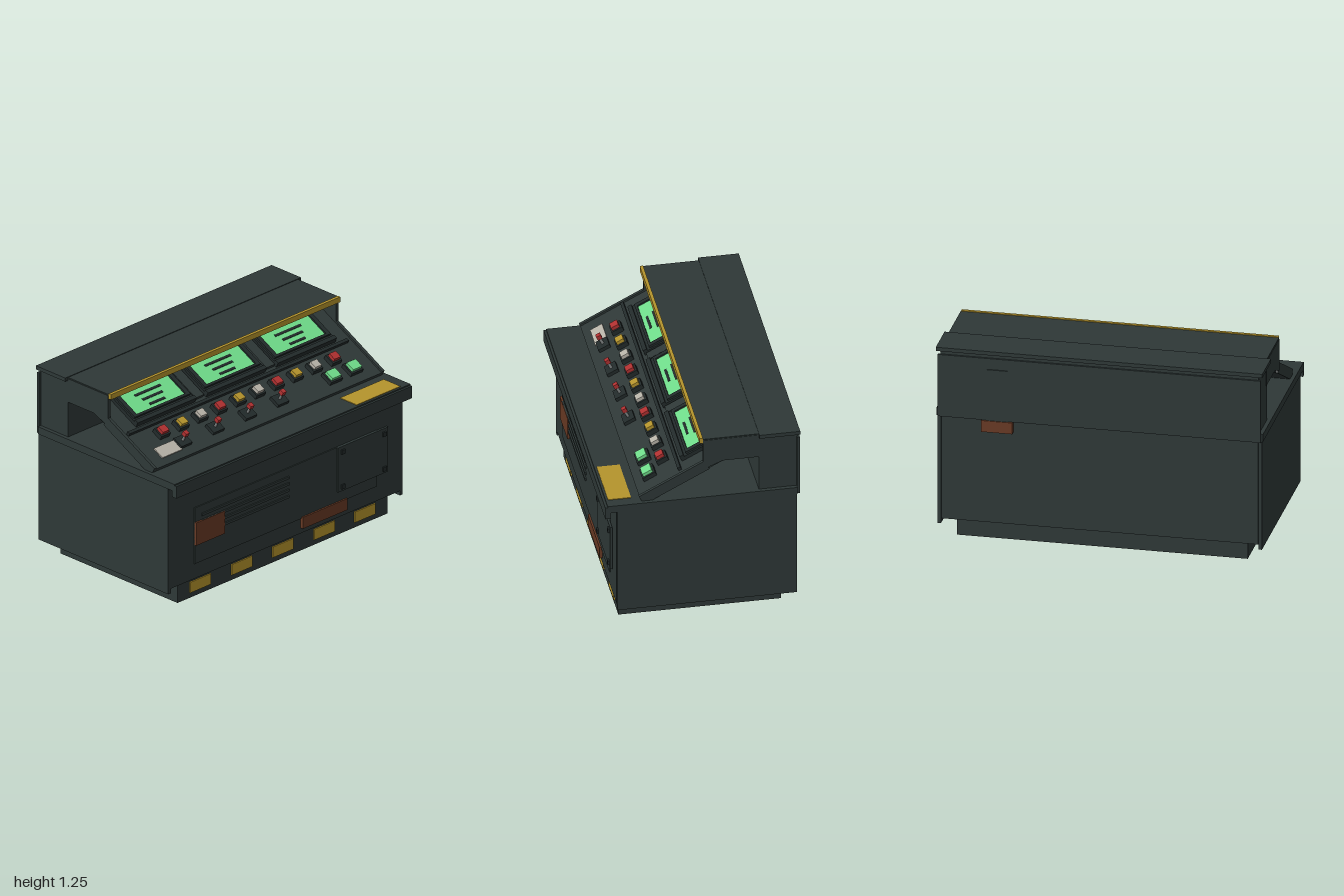
import * as THREE from 'three';

const mat = (name, color) => Object.assign(new THREE.MeshStandardMaterial({ color }), { name });

export function createModel() {
  const body = mat('bodyGrey', 0x2e3837), dark = mat('darkTrim', 0x222a2a);
  const yellow = mat('hazardYellow', 0xb5942c), green = mat('screenGreen', 0x6fdc8a);
  const rust = mat('rust', 0x693a24), red = mat('buttonRed', 0xb03030);
  const pale = mat('labelPale', 0xb8b3a8), steel = mat('steel', 0x858a8a);

  const model = new THREE.Group();
  model.name = 'controlConsole';

  // Box given by its limits on each axis
  const box = (parent, name, m, x0, x1, y0, y1, z0, z1) => {
    const mesh = new THREE.Mesh(new THREE.BoxGeometry(x1 - x0, y1 - y0, z1 - z0), m);
    mesh.position.set((x0 + x1) / 2, (y0 + y1) / 2, (z0 + z1) / 2);
    mesh.name = name;
    parent.add(mesh);
    return mesh;
  };

  // Lower cabinet
  box(model, 'plinth', body, -0.89, 0.89, 0, 0.135, -0.49, 0.5);
  box(model, 'cabinet', body, -0.97, 0.97, 0.13, 0.81, -0.565, 0.525);
  box(model, 'deck', body, -1, 1, 0.8, 0.848, -0.57, 0.585);
  box(model, 'deckLip', body, -1, 1, 0.76, 0.84, 0.565, 0.6);
  box(model, 'deckMat', yellow, 0.56, 0.93, 0.848, 0.852, 0.43, 0.57);
  for (const s of [-1, 1]) {
    const x = s * 0.983;
    box(model, 'sidePanel', body, x - 0.011, x + 0.011, 0.1, 0.8, -0.57, 0.525);
  }
  for (const x of [-0.7, -0.35, 0, 0.35, 0.695])
    box(model, 'hazardStripe', yellow, x - 0.0875, x + 0.0875, 0.035, 0.105, 0.5, 0.508);

  // Front panel with louvres, service door and rust patches
  box(model, 'frontPanel', body, -0.775, 0.77, 0.23, 0.6, 0.525, 0.532);
  for (let i = 0; i < 4; i++) {
    const y = 0.54 - i * 0.042;
    box(model, 'louvre', body, -0.72, 0.02, y - 0.008, y + 0.008, 0.53, 0.541);
  }
  box(model, 'serviceDoor', body, 0.43, 0.853, 0.305, 0.6, 0.53, 0.543);
  for (const x of [0.467, 0.818]) for (const y of [0.335, 0.565])
    box(model, 'doorBolt', dark, x - 0.014, x + 0.014, y - 0.014, y + 0.014, 0.54, 0.554);
  box(model, 'rustPatch', rust, -0.775, -0.53, 0.355, 0.505, 0.53, 0.544);
  box(model, 'rustPatch', rust, 0.13, 0.51, 0.165, 0.24, 0.524, 0.543);

  // Rear housing
  box(model, 'rearHousing', body, -0.975, 0.975, 0.845, 1.23, -0.575, -0.34);
  box(model, 'rearPanel', body, -0.99, 0.99, 0.8, 1.2, -0.587, -0.57);
  box(model, 'rearCap', body, -1, 1, 1.222, 1.246, -0.588, -0.34);
  box(model, 'rearConduit', body, 0.56, 0.69, 0.8, 1.13, -0.594, -0.58);
  box(model, 'rustBracket', rust, 0.53, 0.72, 0.727, 0.8, -0.6, -0.565);

  // Hood over the screens
  box(model, 'hoodRoof', body, -0.975, 0.975, 1.22, 1.242, -0.35, 0);
  box(model, 'hoodBack', body, -0.96, 0.96, 1.08, 1.225, -0.37, -0.2);
  box(model, 'hoodTrim', yellow, -0.972, 0.972, 1.212, 1.247, 0, 0.02);
  const cheek = new THREE.Shape([[0, 1.03], [0, 1.235], [-0.37, 1.235], [-0.37, 1.08], [-0.12, 1.08]]
    .map(([z, y]) => new THREE.Vector2(-z, y)));
  for (const s of [-1, 1]) {
    const g = new THREE.ExtrudeGeometry(cheek, { depth: 0.022, bevelEnabled: false });
    const mesh = new THREE.Mesh(g, body);
    mesh.rotation.y = Math.PI / 2;
    mesh.position.x = s * 0.967 - 0.011;
    mesh.name = 'hoodCheek';
    model.add(mesh);
  }

  // Sloped desk: s runs up the slope, h stands off its surface
  const desk = new THREE.Group();
  desk.name = 'slopedDesk';
  desk.position.set(0, 0.87, 0.385);
  desk.rotation.x = THREE.MathUtils.degToRad(27.4);
  model.add(desk);
  const on = (name, m, x, w, s0, s1, h0, h1) =>
    box(desk, name, m, x - w / 2, x + w / 2, h0, h1, -s1, -s0);

  on('deskSlab', body, 0, 1.93, 0, 0.7, -0.055, 0);
  for (const s of [-1, 1]) on('deskEdge', body, s * 0.966, 0.02, 0, 0.45, -0.055, 0.012);
  on('deskRail', dark, -0.01, 1.86, 0.28, 0.3, 0, 0.022);

  // Screens
  for (const x of [-0.595, 0, 0.595]) {
    on('screenSill', dark, x, 0.5, 0.318, 0.345, 0, 0.038);
    on('screenBacking', dark, x, 0.5, 0.34, 0.66, 0, 0.024);
    on('screenFrameLow', dark, x, 0.47, 0.362, 0.378, 0.02, 0.038);
    for (const s of [-1, 1]) on('screenFrameSide', dark, x + s * 0.222, 0.03, 0.362, 0.66, 0.02, 0.038);
    on('screen', green, x, 0.41, 0.378, 0.65, 0.024, 0.03);
    [0.13, 0.17, 0.22, 0.26, 0.3].forEach((w, i) => {
      const s = 0.41 + i * 0.046;
      on('screenLine', dark, x, w, s - 0.008, s + 0.008, 0.03, 0.033);
    });
    on('screenClip', dark, x, 0.04, 0.62, 0.65, 0.03, 0.045);
  }
  for (const x of [-0.3, 0.3]) on('screenDivider', body, x, 0.07, 0.33, 0.66, 0, 0.02);

  // Row of square push buttons
  const caps = [red, yellow, pale];
  for (let i = 0; i < 10; i++) {
    const x = -0.73 + i * 0.1615;
    on('buttonBase', dark, x, 0.078, 0.172, 0.245, 0, 0.03);
    on('buttonCap', caps[i % 3], x, 0.054, 0.183, 0.233, 0.03, 0.052);
  }

  // Toggle switches
  for (const x of [-0.65, -0.375, -0.1, 0.172]) {
    on('toggleBase', dark, x, 0.092, 0.06, 0.135, 0, 0.022);
    const stem = new THREE.Mesh(new THREE.CylinderGeometry(0.009, 0.009, 0.05, 8), steel);
    stem.position.set(x, 0.044, -0.1);
    stem.name = 'toggleStem';
    desk.add(stem);
    on('toggleTip', red, x, 0.03, 0.087, 0.117, 0.062, 0.09);
  }

  // Green buttons and label plate
  for (const x of [0.62, 0.795]) {
    on('greenButtonBase', dark, x, 0.1, 0.058, 0.145, 0, 0.026);
    on('greenButtonCap', green, x, 0.076, 0.07, 0.133, 0.026, 0.046);
  }
  on('labelPlate', pale, -0.775, 0.17, 0.05, 0.132, 0, 0.008);

  return model;
}
